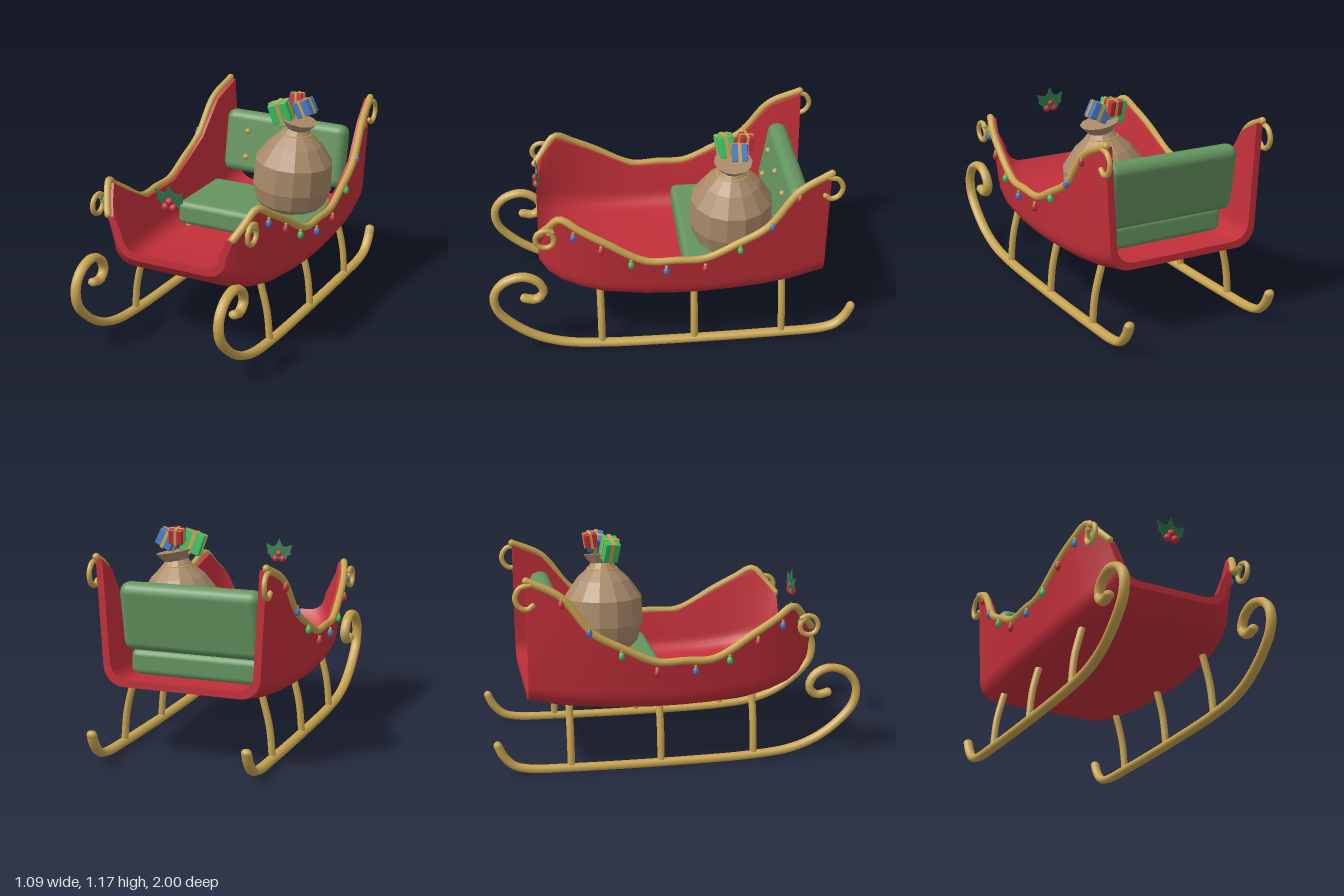
import * as THREE from 'three';
import { toCreasedNormals } from 'three/addons/utils/BufferGeometryUtils.js';
import { RoundedBoxGeometry } from 'three/addons/geometries/RoundedBoxGeometry.js';

const mat = (name, color) => {
  const m = new THREE.MeshStandardMaterial({ color });
  m.name = name;
  return m;
};
const red = mat('sleigh red', 0xc4303a);
const gold = mat('gold', 0xc9a550);
const cushionGreen = mat('cushion green', 0x65945f);
const burlap = mat('burlap', 0xa98a69);
const brightGreen = mat('bright green', 0x3cc465);
const blue = mat('blue', 0x4a78c4);
const hollyGreen = mat('holly green', 0x2c7248);
const V = (x, y, z) => new THREE.Vector3(x, y, z);

function add(parent, name, geometry, material, pos = [0, 0, 0], rot = [0, 0, 0]) {
  const mesh = new THREE.Mesh(geometry, material);
  mesh.name = name;
  mesh.position.set(...pos);
  mesh.rotation.set(...rot);
  parent.add(mesh);
  return mesh;
}

function facet(geometry) {
  const g = geometry.toNonIndexed();
  g.computeVertexNormals();
  return g;
}

// Tube through points, closed by a small ball at each end
function rod(parent, name, points, radius, material = gold, steps = 6) {
  const group = new THREE.Group();
  group.name = name;
  const curve = new THREE.CatmullRomCurve3(points);
  add(group, name + 'Tube', new THREE.TubeGeometry(curve, points.length * steps, radius, 8), material);
  for (const p of [points[0], points[points.length - 1]])
    add(group, name + 'End', new THREE.SphereGeometry(radius, 8, 6), material, p.toArray());
  parent.add(group);
  return group;
}

// Hull stations: z, bottom y, top y, bottom half width, top half width
const stations = [
  [0.72, 0.497, 0.72, 0.325, 0.372],
  [0.67, 0.44, 0.78, 0.365, 0.405],
  [0.6, 0.405, 0.855, 0.4, 0.44],
  [0.5, 0.378, 0.8, 0.435, 0.472],
  [0.38, 0.356, 0.733, 0.46, 0.492],
  [0.16, 0.34, 0.612, 0.48, 0.508],
  [0, 0.336, 0.61, 0.487, 0.514],
  [-0.15, 0.336, 0.612, 0.487, 0.514],
  [-0.32, 0.342, 0.69, 0.482, 0.512],
  [-0.48, 0.35, 0.78, 0.472, 0.505],
  [-0.64, 0.365, 0.975, 0.455, 0.488],
  [-0.81, 0.397, 1.06, 0.43, 0.46],
];

// U-shaped cross-section from the left rim down and up to the right rim
function section([z, yb, yt, wb, wt], inset) {
  const r = 0.11 - inset * 0.4, half = [];
  for (let k = 0; k <= 6; k++) {
    const a = (k / 6) * Math.PI / 2;
    half.push([wb - inset - r + r * Math.sin(a), yb + inset + r - r * Math.cos(a), z]);
  }
  half.push([wt - inset, yt, z]);
  return [...half.map(([x, y]) => [-x, y, z]).reverse(), ...half];
}

function hullGeometry() {
  const loops = stations.map(s => [...section(s, 0), ...section(s, 0.037).reverse()]);
  const L = loops[0].length, n = L / 2, last = loops.length - 1, index = [];
  const quad = (a, b, c, d) => index.push(a, b, c, a, c, d);
  for (let i = 0; i < last; i++)
    for (let j = 0; j < L; j++) {
      const k = (j + 1) % L;
      quad(i * L + j, (i + 1) * L + j, (i + 1) * L + k, i * L + k);
    }
  for (let j = 0; j < n - 1; j++) {
    quad(j, j + 1, L - 2 - j, L - 1 - j);
    const b = last * L;
    quad(b + j, b + L - 1 - j, b + L - 2 - j, b + j + 1);
  }
  const g = new THREE.BufferGeometry();
  g.setAttribute('position', new THREE.Float32BufferAttribute(loops.flat(2), 3));
  g.setIndex(index);
  return toCreasedNormals(g, 0.6);
}

// Outer half width of the hull rim at any z
function rimWidth(z) {
  const i = Math.max(1, stations.findIndex(s => s[0] <= z));
  const a = stations[i - 1], b = stations[i];
  return THREE.MathUtils.lerp(a[4], b[4], (a[0] - z) / (a[0] - b[0]));
}

// Everything repeated on each side; s is +1 or -1
function buildSide(model, s) {
  const side = new THREE.Group();
  side.name = s > 0 ? 'leftSide' : 'rightSide';
  model.add(side);

  const runnerPath = [[-0.98, 0.18], [-0.955, 0.125], [-0.9, 0.065], [-0.82, 0.04], [-0.6, 0.03],
    [0, 0.025], [0.4, 0.033], [0.6, 0.055], [0.75, 0.108], [0.88, 0.2], [0.96, 0.3], [0.967, 0.4],
    [0.91, 0.475], [0.81, 0.503], [0.73, 0.465], [0.705, 0.4], [0.745, 0.355], [0.81, 0.365]];
  const runner = rod(side, 'runner', runnerPath.map(([z, y]) => V(0, y, z)), 0.023);
  runner.position.x = s * 0.42;
  runner.scale.x = 1.28;

  for (const z of [0.4, -0.11, -0.595])
    rod(side, 'strut', [V(s * 0.42, 0.03, z), V(s * 0.403, 0.2, z), V(s * 0.36, 0.375, z)], 0.02);

  rod(side, 'rim', stations.map(([z, , y, , w]) => V(s * (w - 0.003), y + 0.008, z)), 0.02);

  // Curled ornaments at the rim ends
  const curl = [];
  for (let i = 0; i <= 14; i++) {
    const a = 2.3 - (i / 14) * Math.PI * 2.1, r = 0.057 - 0.001 * i;
    curl.push(V(s * 0.455, 0.755 + r * Math.sin(a), 0.68 + r * Math.cos(a)));
  }
  rod(side, 'frontScroll', curl, 0.014, gold, 3);
  rod(side, 'rearScroll', [[-0.79, 1.05], [-0.845, 1.035], [-0.87, 0.985], [-0.848, 0.935],
    [-0.81, 0.922], [-0.78, 0.942]].map(([z, y]) => V(s * 0.468, y, z)), 0.014);

  // String of bulbs under the rim
  const colours = [brightGreen, blue, red];
  [[0.645, 0.77], [0.535, 0.77], [0.395, 0.693], [0.24, 0.607], [0.055, 0.562], [-0.15, 0.562],
    [-0.335, 0.665], [-0.5, 0.795], [-0.64, 0.945]].forEach(([z, y], i) => {
    const x = s * (rimWidth(z) + 0.013);
    add(side, 'bulb', new THREE.SphereGeometry(0.016, 10, 8), colours[i % 3], [x, y, z]).scale.y = 1.4;
    add(side, 'bulbCap', new THREE.CylinderGeometry(0.008, 0.008, 0.014, 8), gold, [x, y + 0.024, z]);
  });
}

function buildGift(model, size, material, pos, rot) {
  const gift = new THREE.Group();
  gift.name = 'gift';
  gift.position.set(...pos);
  gift.rotation.set(...rot);
  const [w, h, d] = size, t = 0.006, band = w * 0.18;
  add(gift, 'giftBox', new RoundedBoxGeometry(w, h, d, 1, 0.006), material);
  add(gift, 'ribbon', new THREE.BoxGeometry(band, h + t, d + t), gold);
  add(gift, 'crossRibbon', new THREE.BoxGeometry(w + t, h + t, band), gold);
  model.add(gift);
}

function buildSack(model) {
  const sack = new THREE.Group();
  sack.name = 'sack';
  sack.position.set(0.182, 0.505, -0.328);
  sack.rotation.z = -0.075;
  const profile = [[0, 0], [0.15, 0], [0.2, 0.055], [0.226, 0.15], [0.22, 0.295], [0.15, 0.395],
    [0.085, 0.455], [0.06, 0.49], [0, 0.49]].map(p => new THREE.Vector2(...p));
  add(sack, 'sackBody', facet(new THREE.LatheGeometry(profile, 14)), burlap);
  add(sack, 'sackTie', new THREE.TorusGeometry(0.082, 0.006, 6, 20), gold, [0, 0.454, 0], [Math.PI / 2, 0, 0]);
  add(sack, 'sackMouth', facet(new THREE.CylinderGeometry(0.103, 0.06, 0.055, 12)), burlap,
    [0.006, 0.505, 0], [0, 0, -0.12]);
  model.add(sack);
}

function buildHolly(model) {
  const holly = new THREE.Group();
  holly.name = 'holly';
  holly.position.set(0, 0.833, 0.7);
  const half = [[0.022, 0.015], [0.034, 0.035], [0.026, 0.05], [0.033, 0.073], [0.018, 0.085]];
  const outline = [[0, 0], ...half, [0, 0.122], ...half.map(([x, y]) => [-x, y]).reverse()];
  const shape = new THREE.Shape(outline.map(p => new THREE.Vector2(...p)));
  const leaf = new THREE.ExtrudeGeometry(shape, { depth: 0.006, bevelEnabled: false });
  for (const a of [-0.75, 0, 0.75])
    add(holly, 'leaf', leaf, hollyGreen, [0, 0, a ? 0 : -0.004], [0.12, 0, a]);
  for (const [x, y] of [[0, 0.03], [-0.022, 0], [0.022, 0]])
    add(holly, 'berry', new THREE.SphereGeometry(0.022, 12, 8), red, [x, y, 0.012]);
  model.add(holly);
}

export function createModel() {
  const model = new THREE.Group();
  model.name = 'sleigh';
  add(model, 'hull', hullGeometry(), red);
  buildSide(model, 1);
  buildSide(model, -1);

  // Seat and tufted backrest
  add(model, 'seatCushion', new RoundedBoxGeometry(0.82, 0.14, 0.47, 2, 0.035), cushionGreen, [0, 0.455, -0.295]);
  const back = new THREE.Group();
  back.name = 'backrest';
  back.position.set(0, 0.74, -0.645);
  back.rotation.x = -0.17;
  add(back, 'backCushion', new RoundedBoxGeometry(0.775, 0.37, 0.11, 2, 0.05), cushionGreen);
  for (const x of [-0.23, 0, 0.23])
    for (const y of [-0.085, 0.07])
      add(back, 'button', new THREE.SphereGeometry(0.017, 10, 8), gold, [x, y, 0.057]);
  model.add(back);

  buildSack(model);
  buildGift(model, [0.115, 0.115, 0.085], brightGreen, [0.137, 1.082, -0.295], [0.1, 0.15, 0.3]);
  buildGift(model, [0.1, 0.09, 0.085], blue, [0.254, 1.102, -0.357], [0.05, -0.1, 0.45]);
  buildGift(model, [0.075, 0.08, 0.07], red, [0.188, 1.128, -0.397], [-0.15, 0.1, 0.08]);
  buildHolly(model);
  return model;
}
